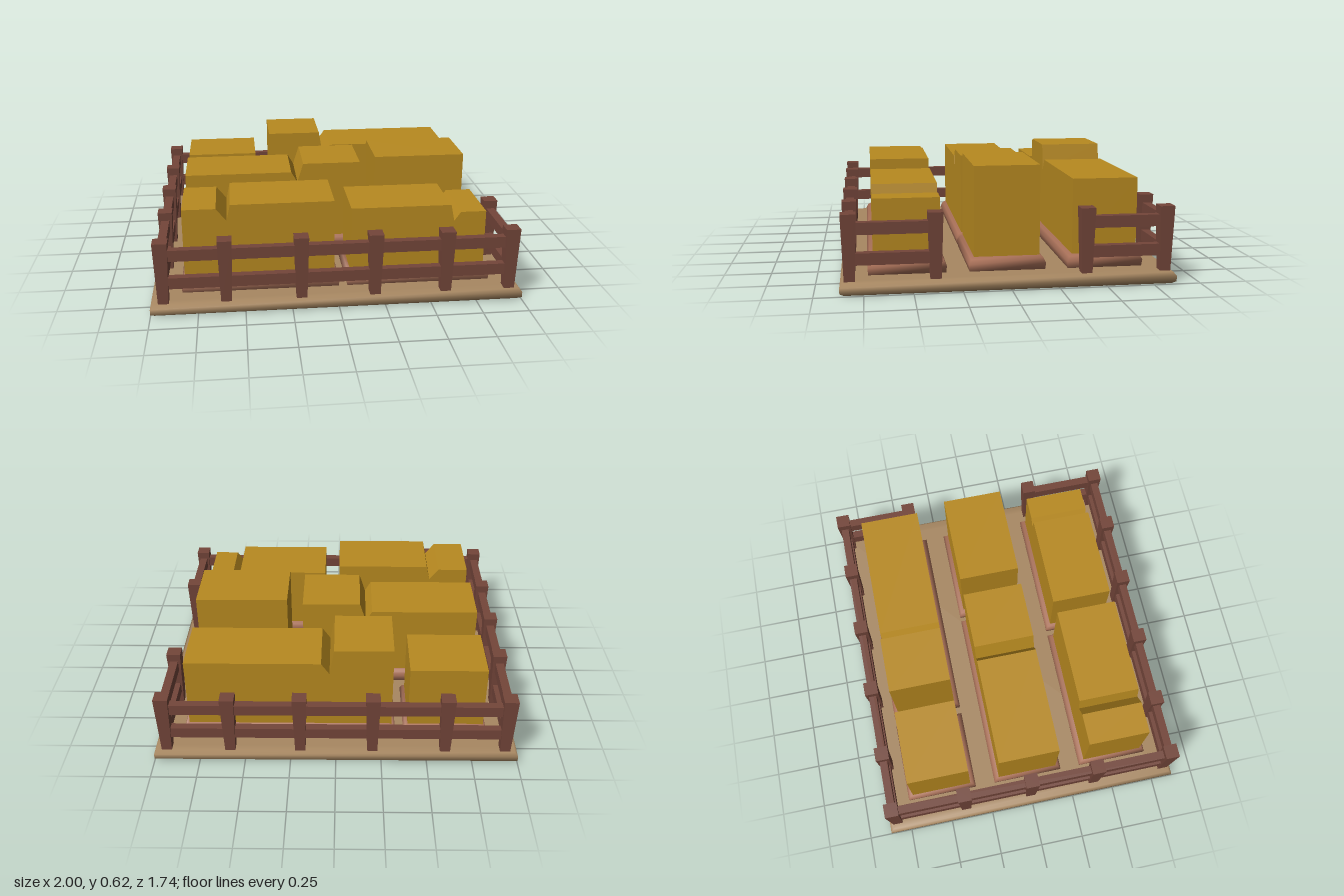
import * as THREE from 'three';

const mat = (color, flatShading = false) => new THREE.MeshStandardMaterial({ color, flatShading });
const GROUND = mat(0xa88862);
const SOIL = mat(0xa87058);
const CROP = mat(0xb88a20, true);
const WOOD = mat(0x74463a, true);

function add(parent, name, geometry, material, x = 0, y = 0, z = 0) {
  const mesh = new THREE.Mesh(geometry, material);
  mesh.name = name;
  mesh.position.set(x, y, z);
  parent.add(mesh);
  return mesh;
}

// Smooth slab from stacked rectangles; each level is [y, inset]
function slab(w, d, levels) {
  const pos = [], index = [];
  levels.forEach(([y, inset], k) => {
    const a = w / 2 - inset, b = d / 2 - inset;
    pos.push(-a, y, b, a, y, b, a, y, -b, -a, y, -b);
    if (k === 0) return;
    for (let j = 0; j < 4; j++) {
      const p = (k - 1) * 4 + j, q = (k - 1) * 4 + (j + 1) % 4;
      index.push(p, q, q + 4, p, q + 4, p + 4);
    }
  });
  const t = (levels.length - 1) * 4;
  index.push(0, 2, 1, 0, 3, 2, t, t + 1, t + 2, t, t + 2, t + 3);
  const g = new THREE.BufferGeometry();
  g.setAttribute('position', new THREE.Float32BufferAttribute(pos, 3));
  g.setIndex(index);
  g.computeVertexNormals();
  return g;
}

// Block of crop: outline of its top extruded across the row
function cropBlock(x0, x1, top) {
  const shape = new THREE.Shape();
  shape.moveTo(x0, 0.13);
  shape.lineTo(x1, 0.13);
  [...top].reverse().forEach(([x, y]) => shape.lineTo(x, y));
  shape.closePath();
  return new THREE.ExtrudeGeometry(shape, { depth: 0.35, bevelEnabled: false });
}

// Fence post, wider at the top
function postGeometry() {
  const g = new THREE.BoxGeometry(0.078, 0.35, 0.078);
  const p = g.attributes.position;
  for (let i = 0; i < p.count; i++) {
    if (p.getY(i) < 0) p.setXYZ(i, p.getX(i) * 0.72, p.getY(i), p.getZ(i) * 0.72);
  }
  g.computeVertexNormals();
  return g;
}

export function createModel() {
  const model = new THREE.Group();
  model.name = 'cropField';

  add(model, 'groundSlab', slab(2, 1.74, [
    [0, 0.02], [0.015, 0], [0.045, 0], [0.063, 0.015], [0.065, 0.06],
  ]), GROUND);

  // Beds: row centre z, soil span, crop outline points from left end to right end
  const beds = [
    [-0.525, -0.84, -0.375, [[-0.82, 0.5], [-0.4, 0.5]]],
    [-0.525, -0.33, 0.85, [[-0.31, 0.625], [0.01, 0.625], [0.035, 0.475], [0.08, 0.54], [0.82, 0.54]]],
    [0, -0.84, 0.225, [[-0.82, 0.54], [-0.205, 0.54], [-0.17, 0.48], [-0.135, 0.59], [0.2, 0.59]]],
    [0, 0.26, 0.85, [[0.29, 0.618], [0.82, 0.618]]],
    [0.525, -0.84, 0.015, [[-0.82, 0.53], [-0.64, 0.53], [-0.585, 0.46], [-0.565, 0.55], [-0.01, 0.55]]],
    [0.525, 0.055, 0.85, [[0.08, 0.503], [0.625, 0.503], [0.645, 0.41], [0.68, 0.46], [0.82, 0.46]]],
  ];
  for (const [z, s0, s1, top] of beds) {
    const bed = new THREE.Group();
    bed.name = 'plantedBed';
    bed.position.z = z;
    model.add(bed);
    add(bed, 'soilBed', slab(s1 - s0, 0.41, [
      [0.055, 0.005], [0.1, 0], [0.125, 0.012], [0.138, 0.032], [0.138, 0.06],
    ]), SOIL, (s0 + s1) / 2);
    add(bed, 'crop', cropBlock(top[0][0], top[top.length - 1][0], top), CROP, 0, 0, -0.175);
  }

  // Fence, open in the middle of the left side
  const fence = new THREE.Group();
  fence.name = 'fence';
  model.add(fence);
  const X = 0.93, Z = 0.82;
  const post = postGeometry();
  const addPost = (x, z) => add(fence, 'fencePost', post, WOOD, x, 0.235, z);
  for (const x of [-X, -0.6, -0.2, 0.195, 0.58, X]) {
    addPost(x, Z);
    addPost(x, -Z);
  }
  for (const z of [-0.4, -0.005, 0.385]) addPost(-X, z);
  for (const z of [-0.4, 0.385]) addPost(X, z);

  for (const y of [0.177, 0.333]) {
    for (const z of [-Z, Z]) add(fence, 'longRail', new THREE.BoxGeometry(2 * X, 0.062, 0.044), WOOD, 0, y, z);
    for (const [x, z0, z1] of [[-X, -Z, Z], [X, -Z, -0.4], [X, 0.385, Z]]) {
      add(fence, 'sideRail', new THREE.BoxGeometry(0.046, 0.062, z1 - z0), WOOD, x, y, (z0 + z1) / 2);
    }
  }
  return model;
}
